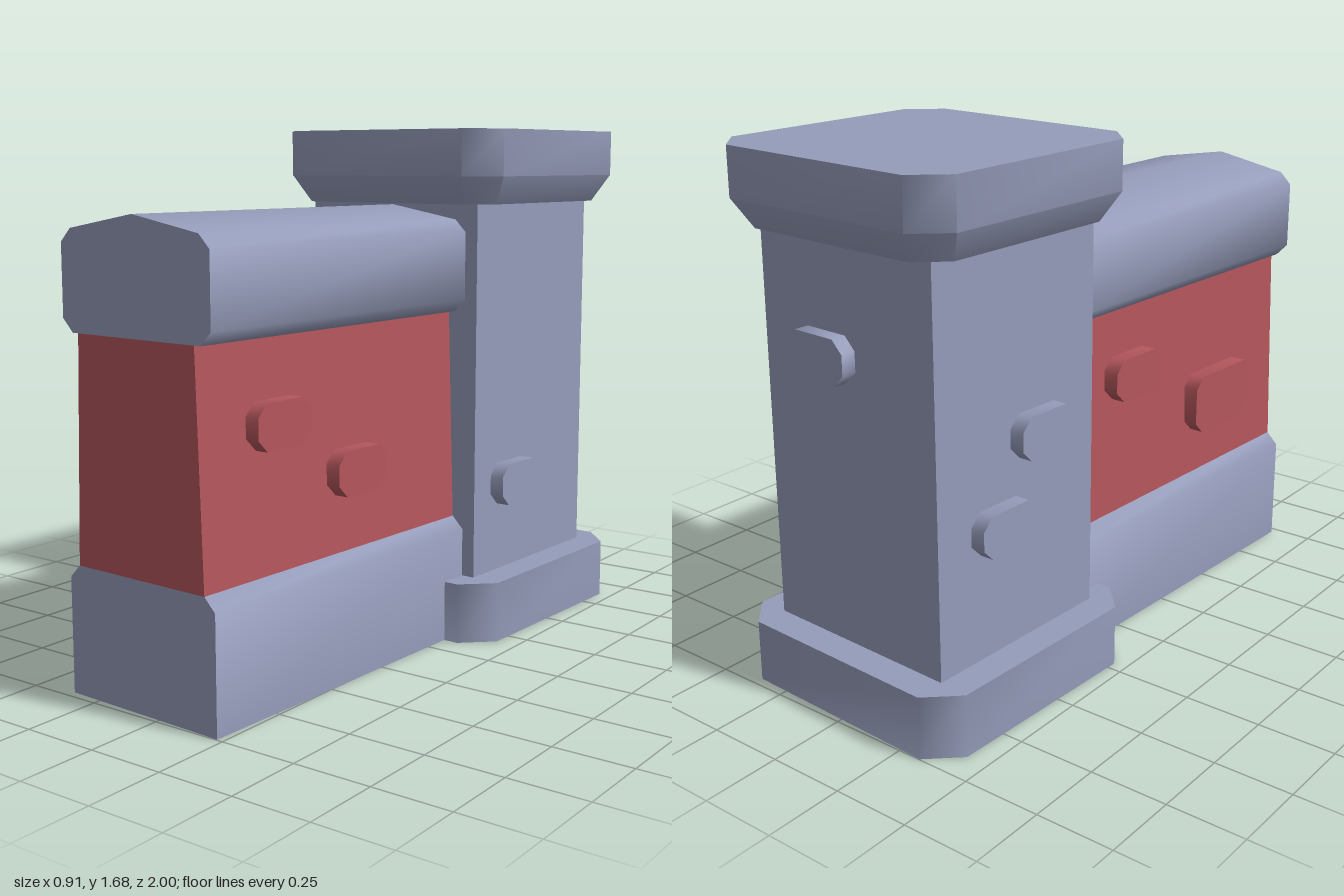
import * as THREE from 'three';
import { toCreasedNormals } from 'three/addons/utils/BufferGeometryUtils.js';

const CREASE = 0.9; // bevels stay smooth, right angles stay sharp

const stone = new THREE.MeshStandardMaterial({ color: 0x959cba });
stone.name = 'blue grey stone';
const redBrick = new THREE.MeshStandardMaterial({ color: 0xb5575d });
redBrick.name = 'red brick';

// Rectangle with cut corners, as [a, b] points in counterclockwise order
function octagon(w, h, c) {
  return [
    [w, -h + c], [w, h - c], [w - c, h], [-w + c, h],
    [-w, h - c], [-w, -h + c], [-w + c, -h], [w - c, -h],
  ];
}

function toShape(points) {
  return new THREE.Shape(points.map(([x, y]) => new THREE.Vector2(x, y)));
}

// Closed solid through square cut-corner rings, each [y, half width, corner cut]
function loft(rings) {
  const pos = [];
  const index = [];
  for (const [y, half, cut] of rings) {
    for (const [x, z] of octagon(half, half, cut)) pos.push(x, y, z);
  }
  const top = rings.length * 8;
  pos.push(0, rings[rings.length - 1][0], 0, 0, rings[0][0], 0);
  for (let i = 0; i < 8; i++) {
    const n = (i + 1) % 8;
    for (let r = 0; r < rings.length - 1; r++) {
      const a = r * 8 + i, b = r * 8 + n;
      index.push(a, a + 8, b, b, a + 8, b + 8);
    }
    index.push(top, top - 8 + n, top - 8 + i, top + 1, i, n);
  }
  const geo = new THREE.BufferGeometry();
  geo.setAttribute('position', new THREE.Float32BufferAttribute(pos, 3));
  geo.setIndex(index);
  return toCreasedNormals(geo, CREASE);
}

export function createModel() {
  const model = new THREE.Group();
  model.name = 'wallWithPillar';

  // Everything is built around the pillar axis, then turned slightly
  const body = new THREE.Group();
  body.name = 'wallAssembly';
  body.position.z = -0.543;
  body.rotation.y = -0.043;
  model.add(body);

  function add(name, geometry, material) {
    const mesh = new THREE.Mesh(geometry, material);
    mesh.name = name;
    body.add(mesh);
    return mesh;
  }

  // Pillar: base slab, square shaft and flared cap
  add('pillarBase', loft([[0, 0.441, 0.096], [0.2, 0.441, 0.096]]), stone);
  const shaft = new THREE.BoxGeometry(0.682, 1.26, 0.682);
  add('pillarShaft', shaft, stone).position.y = 0.82;
  add('pillarCap', loft([[1.44, 0.39, 0.085], [1.53, 0.441, 0.096], [1.68, 0.441, 0.096]]), stone);

  // Wall: mirrored half profiles [x, y] run forward from the pillar face
  function wallPart(name, half, material, peak) {
    const left = half.map(([x, y]) => [-x, y]).reverse();
    const points = [...half, ...(peak ? [[0, peak]] : []), ...left];
    const geo = new THREE.ExtrudeGeometry(toShape(points), { depth: 1.189, bevelEnabled: false });
    geo.translate(0, 0, 0.34);
    add(name, toCreasedNormals(geo, CREASE), material);
  }
  wallPart('wallPlinth', [[0.295, 0], [0.295, 0.36], [0.255, 0.4]], stone);
  wallPart('wallPanel', [[0.255, 0.4], [0.232, 1.09]], redBrick);
  wallPart('wallCoping', [[0.255, 1.09], [0.295, 1.13], [0.295, 1.35], [0.255, 1.39]], stone, 1.435);

  // Raised bricks: turn is the facing angle about y
  function brick(name, material, x, y, z, turn, w, h) {
    const depth = 0.1;
    const shape = toShape(octagon(w / 2, h / 2, 0.038));
    const geo = new THREE.ExtrudeGeometry(shape, { depth, bevelEnabled: false });
    geo.translate(0, 0, -depth);
    const mesh = add(name, toCreasedNormals(geo, CREASE), material);
    mesh.position.set(x, y, z);
    mesh.rotation.y = turn;
  }
  const L = Math.PI / 2, R = -Math.PI / 2;
  brick('pillarBrickLeft', stone, 0.39, 0.5, 0.13, L, 0.225, 0.14);
  brick('pillarBrickRightLow', stone, -0.39, 0.605, -0.09, R, 0.23, 0.135);
  brick('pillarBrickRightHigh', stone, -0.39, 0.855, 0.08, R, 0.23, 0.135);
  brick('pillarBrickBack', stone, 0.08, 1.1, -0.39, Math.PI, 0.23, 0.14);
  brick('wallBrickLeftHigh', redBrick, 0.288, 0.84, 1.224, L, 0.23, 0.14);
  brick('wallBrickLeftLow', redBrick, 0.296, 0.65, 0.878, L, 0.23, 0.14);
  brick('wallBrickRightHigh', redBrick, -0.291, 0.86, 0.655, R, 0.24, 0.14);
  brick('wallBrickRightLow', redBrick, -0.297, 0.66, 1.145, R, 0.33, 0.2);

  return model;
}
